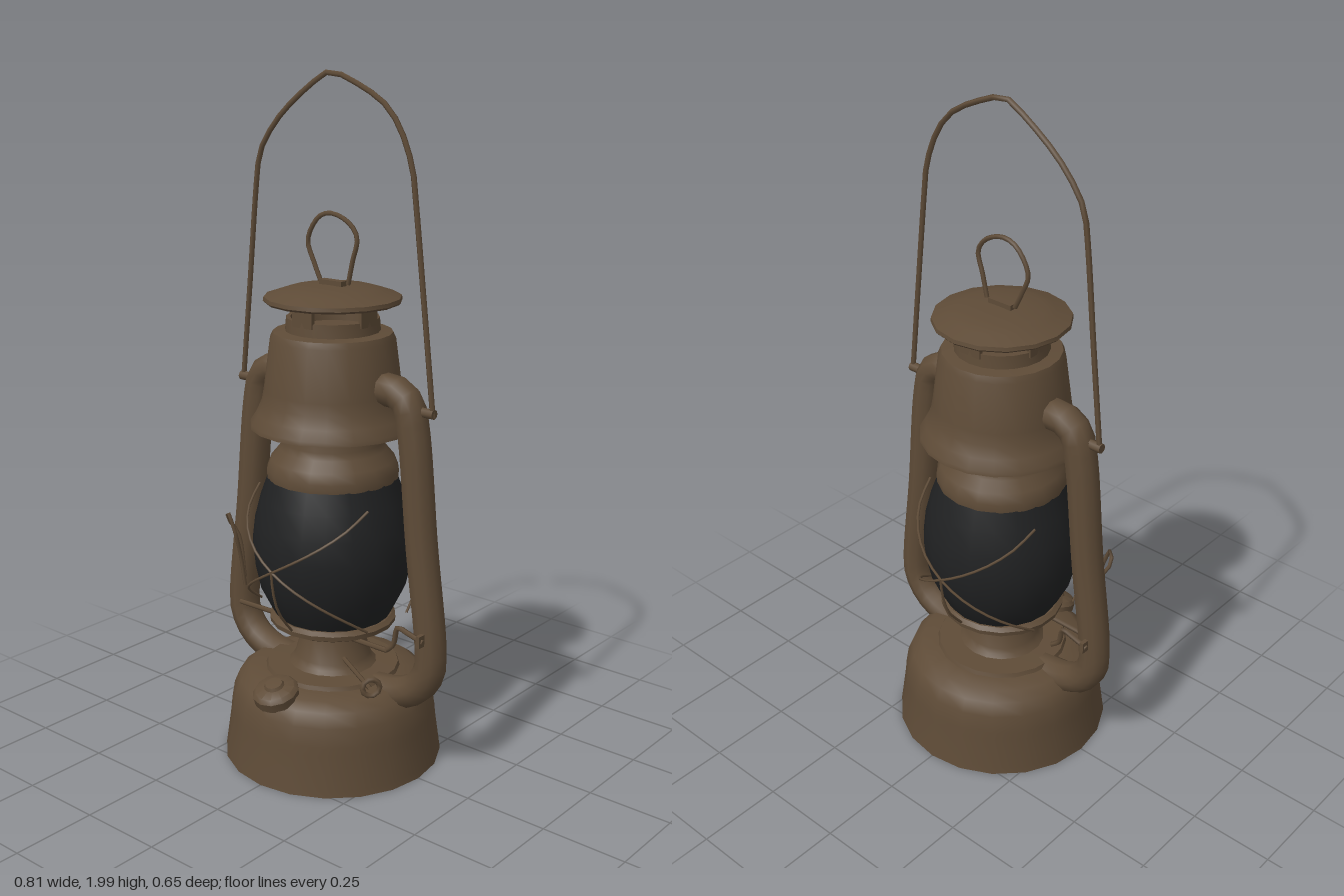
import * as THREE from 'three';
import { toCreasedNormals } from 'three/addons/utils/BufferGeometryUtils.js';

export function createModel() {
  const group = new THREE.Group();
  group.name = 'lantern';
  const metal = new THREE.MeshStandardMaterial({ color: 0x5e4b37 });
  metal.name = 'aged brown metal';
  const glass = new THREE.MeshStandardMaterial({ color: 0x202122 });
  glass.name = 'sooty glass';

  const add = (name, geometry, material = metal) => {
    const mesh = new THREE.Mesh(geometry, material);
    mesh.name = name;
    group.add(mesh);
    return mesh;
  };
  const lathe = (name, pts, sides, material) => add(name, toCreasedNormals(
    new THREE.LatheGeometry(pts.map(([r, y]) => new THREE.Vector2(r, y)), sides), 0.7), material);
  const curve = (pts, closed = false) =>
    new THREE.CatmullRomCurve3(pts.map((p) => new THREE.Vector3(...p)), closed, 'centripetal');
  const wire = (name, pts, radius = 0.007, steps = 6, closed = false) =>
    add(name, new THREE.TubeGeometry(curve(pts, closed), (pts.length - 1) * steps, radius, 5, closed));

  // Fuel tank with a stepped shoulder
  lathe('fuelTank', [[0, 0.012], [0.3, 0.012], [0.31, 0], [0.325, 0], [0.322, 0.02], [0.308, 0.12],
    [0.306, 0.145], [0.297, 0.2], [0.28, 0.24], [0.25, 0.262], [0.2, 0.27], [0.195, 0.282],
    [0.14, 0.285], [0, 0.285]], 20);

  // Burner cone and the plate that carries the globe
  lathe('burner', [[0.135, 0.28], [0.12, 0.295], [0.112, 0.31], [0.092, 0.38], [0.09, 0.405],
    [0.165, 0.408], [0.185, 0.418], [0.187, 0.432], [0.175, 0.442], [0, 0.442]], 18);

  // Globe
  lathe('globe', [[0.165, 0.435], [0.18, 0.46], [0.215, 0.53], [0.23, 0.6], [0.236, 0.66],
    [0.228, 0.73], [0.21, 0.8], [0.187, 0.865]], 20, glass);

  // Chimney collar running up inside the flared hood
  lathe('chimneyCollar', [[0.15, 0.86], [0.19, 0.86], [0.192, 0.885], [0.18, 0.915], [0.155, 0.945],
    [0.147, 0.965], [0.147, 1.1]], 18);
  lathe('hood', [[0.147, 1.09], [0.19, 1.075], [0.23, 1.012], [0.238, 1.01], [0.236, 1.022],
    [0.218, 1.05], [0.203, 1.085], [0.197, 1.12], [0.178, 1.265], [0.17, 1.283], [0.135, 1.287],
    [0.132, 1.325], [0.12, 1.325], [0.118, 1.29], [0, 1.29]], 20);

  // Vent posts and cap
  for (let i = 0; i < 4; i++) {
    const a = i * Math.PI / 2;
    const post = add('ventPost', new THREE.BoxGeometry(0.07, 0.07, 0.012));
    post.position.set(Math.sin(a) * 0.126, 1.345, Math.cos(a) * 0.126);
    post.rotation.y = a;
  }
  lathe('ventCap', [[0, 1.365], [0.135, 1.365], [0.15, 1.372], [0.19, 1.366], [0.196, 1.372],
    [0.194, 1.383], [0.15, 1.398], [0.12, 1.407], [0.06, 1.412], [0, 1.414]], 16);

  // Lifting ring on the cap
  add('ringBracket', new THREE.BoxGeometry(0.08, 0.018, 0.024)).position.y = 1.418;
  wire('liftingRing', [[-0.045, 1.42, 0], [-0.072, 1.475, 0], [-0.092, 1.53, 0], [-0.052, 1.597, 0],
    [-0.005, 1.612, 0], [0.06, 1.588, 0], [0.086, 1.55, 0], [0.07, 1.485, 0], [0.055, 1.42, 0]], 0.007, 3);

  // Carrying bail
  wire('bailHandle', [[-0.35, 1.09, 0], [-0.318, 1.38, 0], [-0.283, 1.7, 0], [-0.27, 1.765, 0],
    [-0.2, 1.86, 0], [-0.085, 1.95, 0], [-0.01, 1.99, 0], [0.05, 1.975, 0], [0.18, 1.91, 0],
    [0.235, 1.84, 0], [0.272, 1.745, 0], [0.283, 1.67, 0], [0.318, 1.38, 0], [0.352, 1.09, 0]], 0.008, 3);

  for (const s of [-1, 1]) {
    // Side air tube from the hood down to the tank
    add('sideTube', new THREE.TubeGeometry(curve([[0.16, 1.14, 0], [0.225, 1.143, 0], [0.268, 1.115, 0],
      [0.288, 1.04, 0], [0.322, 0.72, 0], [0.36, 0.41, 0], [0.355, 0.345, 0], [0.315, 0.285, 0],
      [0.25, 0.252, 0], [0.17, 0.24, 0]].map(([x, y, z]) => [x * s, y, z])), 32, 0.047, 10));
    const pin = add('bailPivot', new THREE.CylinderGeometry(0.014, 0.014, 0.06, 8));
    pin.rotation.z = Math.PI / 2;
    pin.position.set(s * 0.327, 1.1, 0);

    // Crossed guard wires, front and back
    for (const d of [-1, 1]) {
      const pts = [];
      for (let i = 0; i <= 8; i++) {
        const t = i / 4 - 1;
        const a = t * 1.15;
        const r = 0.266 - 0.043 * t * t;
        pts.push([Math.sin(a) * r * d, 0.635 + t * 0.18, Math.cos(a) * r * s]);
      }
      wire('guardWire', pts, 0.004, 2);
    }
    wire('guardBow', [[0, 0.43, 0.18 * s], [0, 0.5, 0.235 * s], [0, 0.57, 0.26 * s],
      [0, 0.64, 0.268 * s]], 0.004, 2);

    // Lever tip beside each tube
    wire('leverTip', [[s * 0.24, 0.397, s * 0.05], [s * 0.265, 0.42, s * 0.05], [s * 0.285, 0.48, s * 0.055],
      [s * 0.31, 0.475, s * 0.055], [s * 0.375, 0.46, s * 0.058]], 0.008, 3);
    add('leverButton', new THREE.BoxGeometry(0.012, 0.035, 0.024)).position.set(s * 0.365, 0.462, s * 0.058);
  }

  // Globe lift rod and its hook
  wire('liftRod', [[-0.33, 0.395, 0.05], [-0.15, 0.397, 0.05], [0.05, 0.397, 0.05], [0.245, 0.397, 0.05]], 0.008, 2);
  wire('liftHook', [[-0.3, 0.46, 0.06], [-0.303, 0.56, 0.075], [-0.306, 0.64, 0.095], [-0.33, 0.7, 0.1],
    [-0.343, 0.67, 0.085], [-0.325, 0.62, 0.06], [-0.31, 0.48, 0.05]], 0.006, 3);

  // Wick adjuster
  wire('wickRod', [[0.08, 0.328, 0.05], [0.2, 0.328, 0.12], [0.27, 0.328, 0.16]], 0.007, 2);
  const knob = add('wickKnob', new THREE.TorusGeometry(0.025, 0.008, 6, 10));
  knob.position.set(0.27, 0.328, 0.155);
  knob.rotation.y = 0.9;

  // Filler neck and cap, tipped forward
  const filler = lathe('fillerCap', [[0.05, -0.07], [0.05, -0.01], [0.066, -0.008], [0.068, 0.018],
    [0.058, 0.03], [0.03, 0.036], [0.025, 0.045], [0, 0.047]], 12);
  filler.position.set(0, 0.255, 0.25);
  filler.rotation.x = 0.3;

  return group;
}
